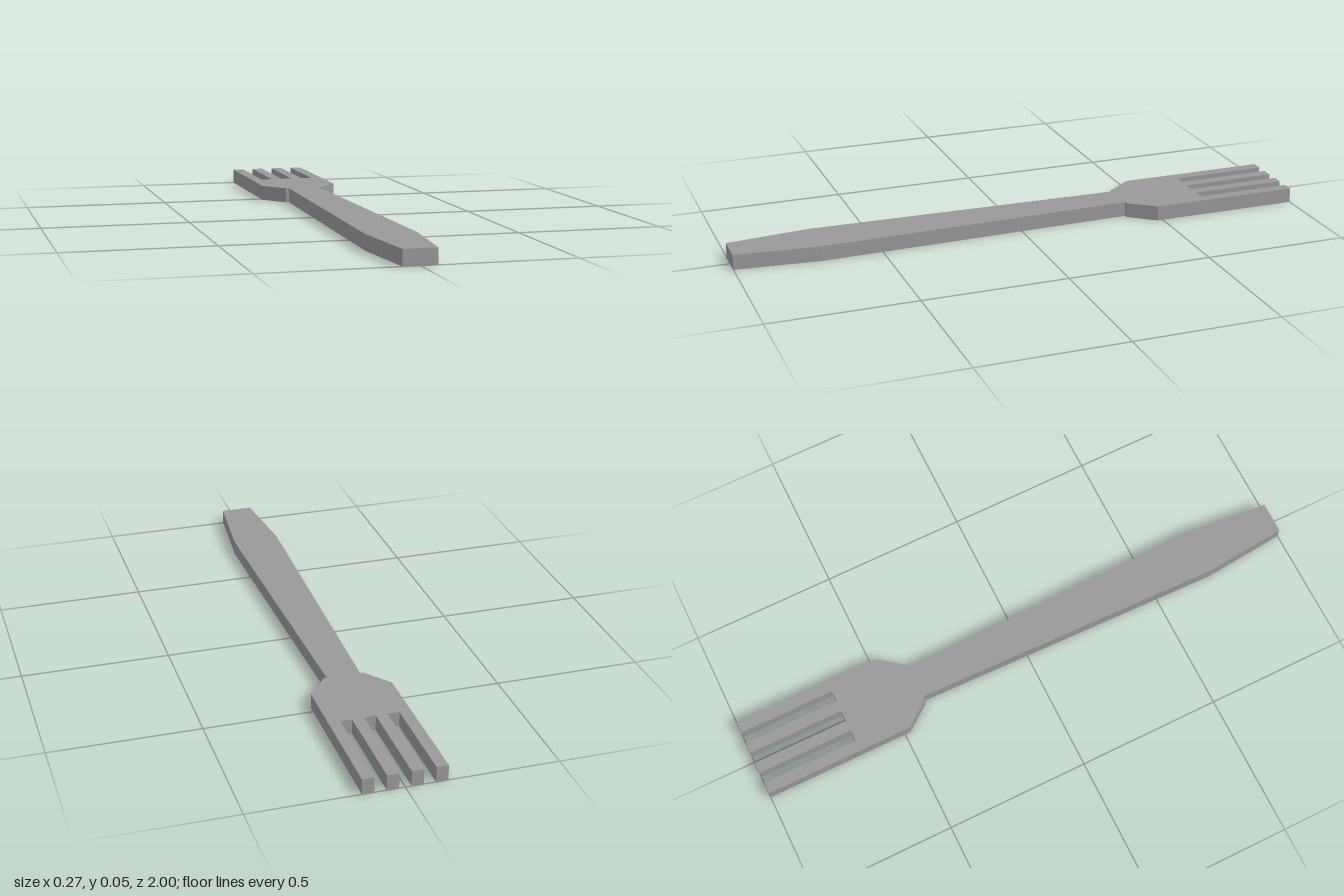
import * as THREE from 'three';

const THICKNESS = 0.052;

export function createModel() {
  const metal = new THREE.MeshStandardMaterial({ color: 0x999999 });
  metal.name = 'grey metal';

  // Left half of the outline as [x, z], from the handle end to the outer tine tip
  const half = [
    [0.055, 1], [0.083, 0.71], [0.057, -0.39],  // handle
    [0.068, -0.39], [0.137, -0.48], [0.137, -1], // shoulder and head side
  ];

  // Slots between the four tines, from left to right
  const tine = 0.039, pitch = 0.0783, slotEnd = -0.664;
  const slots = [];
  for (let i = 0; i < 3; i++) {
    const outer = 0.137 - i * pitch - tine;
    const inner = 0.137 - (i + 1) * pitch;
    slots.push([outer, -1], [outer, slotEnd], [inner, slotEnd], [inner, -1]);
  }

  const mirrored = half.map(([x, z]) => [-x, z]).reverse();
  const outline = [...half, ...slots, ...mirrored];
  const shape = new THREE.Shape(outline.map(([x, z]) => new THREE.Vector2(x, -z)));

  // Flat slab lying on the ground
  const geometry = new THREE.ExtrudeGeometry(shape, { depth: THICKNESS, bevelEnabled: false });
  geometry.rotateX(-Math.PI / 2);
  const fork = new THREE.Mesh(geometry, metal);
  fork.name = 'fork';

  const group = new THREE.Group();
  group.name = 'dinnerFork';
  group.add(fork);
  return group;
}
